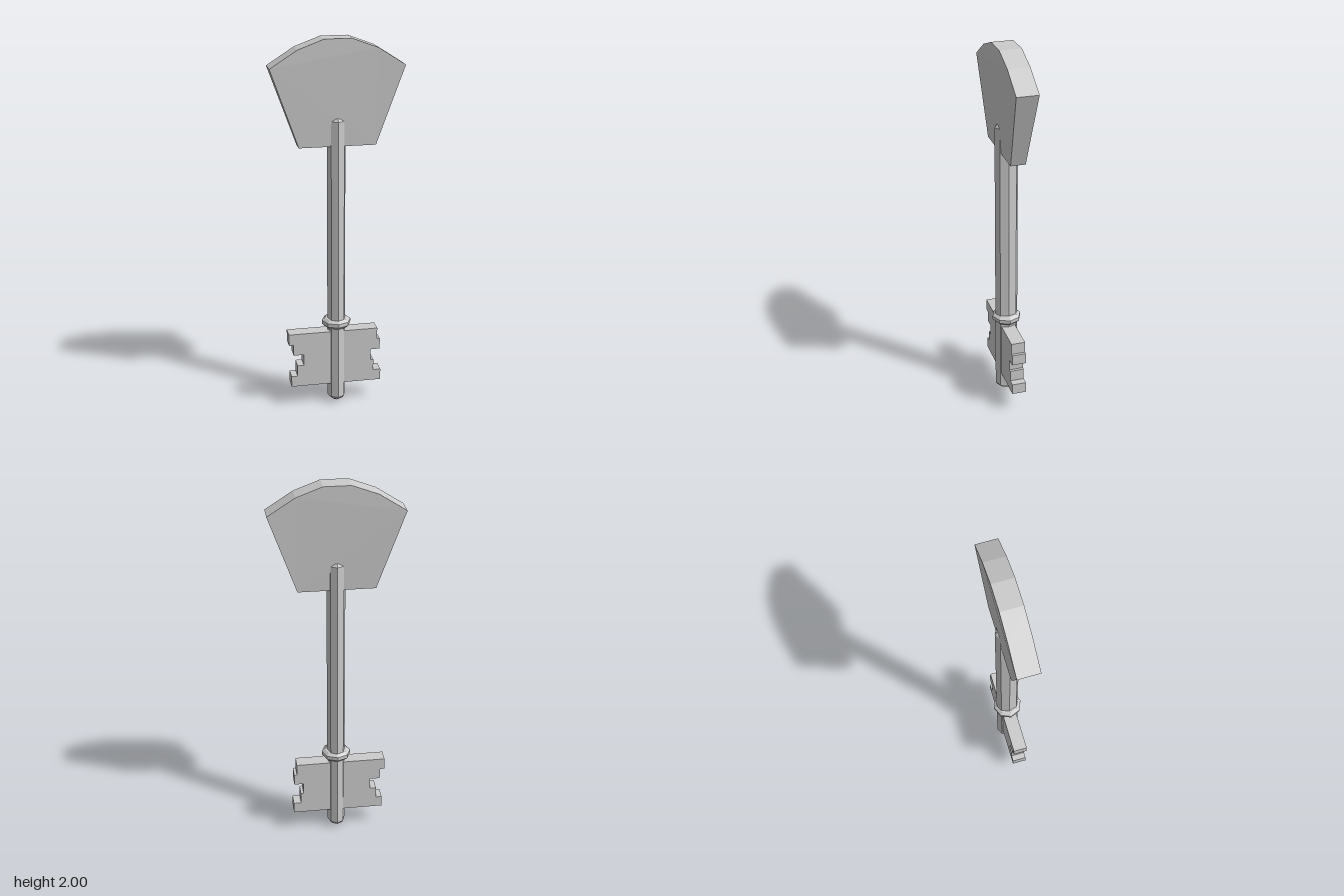
import * as THREE from 'three';

const material = new THREE.MeshStandardMaterial({ color: 0xcccccc, flatShading: true });

function addPart(group, name, geometry) {
  const mesh = new THREE.Mesh(geometry, material);
  mesh.name = name;
  group.add(mesh);
  return mesh;
}

// Eight-sided turned part from [radius, y] pairs, bottom to top
function octagonal(profile) {
  return new THREE.LatheGeometry(profile.map(([r, y]) => new THREE.Vector2(r, y)), 8);
}

// Flat plate of the given half thickness, centred on z = 0
function plate(points, half) {
  const shape = new THREE.Shape(points.map(([x, y]) => new THREE.Vector2(x, y)));
  const geometry = new THREE.ExtrudeGeometry(shape, { depth: half * 2, bevelEnabled: false });
  return geometry.translate(0, 0, -half);
}

export function createModel() {
  const key = new THREE.Group();
  key.name = 'key';

  // Shaft: slightly oval octagon with a rounded tip and a chamfered top
  const shaft = addPart(key, 'shaft', octagonal([
    [0, 0.003], [0.022, 0.008], [0.052, 0.026], [0.062, 0.04],
    [0.062, 1.58], [0.05, 1.595], [0, 1.6],
  ]));
  shaft.scale.x = 0.78;

  // Collar ring above the bit
  addPart(key, 'collar', octagonal([
    [0.04, 0.44], [0.062, 0.445], [0.078, 0.46], [0.078, 0.48], [0.062, 0.493], [0.04, 0.495],
  ]));

  // Head: fan-shaped plate, thinner towards its base
  const rightEdge = [[0.2, 1.45], [0.346, 1.86], [0.205, 1.95], [0.07, 2]];
  const leftEdge = rightEdge.map(([x, y]) => [-x, y]).reverse();
  const head = plate([...rightEdge, ...leftEdge], 1);
  const pos = head.attributes.position;
  for (let i = 0; i < pos.count; i++) {
    const t = Math.min(1, (pos.getY(i) - 1.45) / 0.41);
    pos.setZ(i, pos.getZ(i) * THREE.MathUtils.lerp(0.039, 0.057, t));
  }
  head.computeVertexNormals();
  addPart(key, 'head', head);

  // Bit: one plate with five stepped teeth on each side, listed bottom to top
  const levels = [0.118, 0.178, 0.24, 0.302, 0.362, 0.425];
  const steps = (widths) => widths.flatMap((x, i) => [[x, levels[i]], [x, levels[i + 1]]]);
  const right = steps([0.24, 0.2, 0.185, 0.235, 0.22]);
  const left = steps([-0.253, -0.22, -0.185, -0.24, -0.265]).reverse();
  addPart(key, 'bit', plate([...right, ...left], 0.038));

  return key;
}
